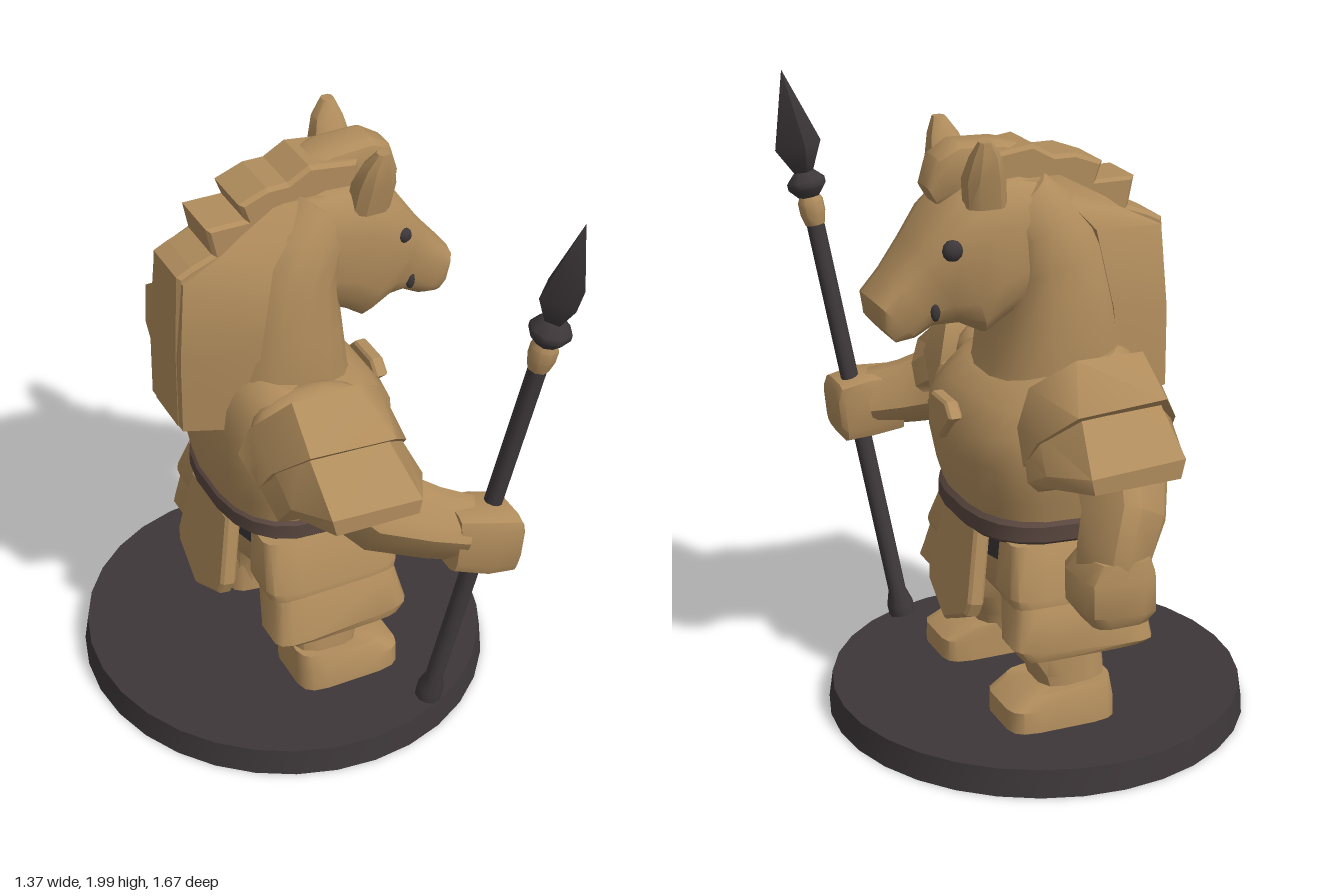
import * as THREE from 'three';
import { toCreasedNormals } from 'three/addons/utils/BufferGeometryUtils.js';

const mat = (name, color) => {
  const m = new THREE.MeshStandardMaterial({ color });
  m.name = name;
  return m;
};

// Closed surface through rings of points, always facing outward
function skin(rings, crease = 0.7) {
  const n = rings[0].length, pos = rings.flat(2), idx = [];
  rings.slice(1).forEach((_, r) => {
    for (let i = 0; i < n; i++) {
      const a = r * n + i, b = r * n + (i + 1) % n;
      idx.push(a, b, a + n, b, b + n, a + n);
    }
  });
  [0, rings.length - 1].forEach((r, end) => {
    const c = [0, 1, 2].map(k => rings[r].reduce((s, p) => s + p[k], 0) / n);
    const ci = pos.length / 3;
    pos.push(...c);
    for (let i = 0; i < n; i++) {
      const a = r * n + i, b = r * n + (i + 1) % n;
      end ? idx.push(ci, a, b) : idx.push(ci, b, a);
    }
  });
  let volume = 0;
  const v = i => new THREE.Vector3().fromArray(pos, i * 3);
  for (let i = 0; i < idx.length; i += 3) volume += v(idx[i]).dot(v(idx[i + 1]).cross(v(idx[i + 2])));
  if (volume < 0) idx.reverse();
  const g = new THREE.BufferGeometry();
  g.setAttribute('position', new THREE.Float32BufferAttribute(pos, 3));
  g.setIndex(idx);
  return toCreasedNormals(g, crease);
}

// Rounded-square ring about a centre with two half axes
function ring(c, u, v, power = 2.6, n = 16) {
  return Array.from({ length: n }, (_, i) => {
    const t = ((i + 0.5) / n) * Math.PI * 2;
    const f = w => Math.sign(w) * Math.abs(w) ** (2 / power);
    const a = f(Math.cos(t)), b = f(Math.sin(t));
    return c.map((q, k) => q + u[k] * a + v[k] * b);
  });
}

// Sections: [frontX, frontY, backX, backY, halfWidth, centreZ]
const body = (sections, power, n) => skin(sections.map(([ax, ay, bx, by, w, z = 0]) =>
  ring([(ax + bx) / 2, (ay + by) / 2, z], [(ax - bx) / 2, (ay - by) / 2, 0], [0, 0, w], power, n)));

// Limb along points: [x, y, z, radius]
function limb(points, power = 3, n = 10) {
  const P = points.map(p => new THREE.Vector3(...p.slice(0, 3)));
  return skin(points.map((p, i) => {
    const t = P[Math.min(i + 1, P.length - 1)].clone().sub(P[Math.max(i - 1, 0)]).normalize();
    const u = new THREE.Vector3(0.9, 0.3, -0.4).cross(t).normalize();
    const v = t.clone().cross(u);
    return ring(P[i].toArray(), u.multiplyScalar(p[3]).toArray(), v.multiplyScalar(p[3]).toArray(), power, n);
  }));
}

function extrude(points, depth, bevel) {
  const g = new THREE.ExtrudeGeometry(new THREE.Shape(points.map(p => new THREE.Vector2(...p))),
    { depth, bevelEnabled: true, bevelSize: bevel, bevelThickness: bevel, bevelSegments: 1 });
  return g.translate(0, 0, -depth / 2);
}

export function createModel() {
  const tan = mat('tan', 0xb08c5c), dark = mat('charcoal', 0x3d3739), brown = mat('beltBrown', 0x59463f);
  const model = new THREE.Group(), figure = new THREE.Group();
  model.name = 'horseGuardFigurine';
  figure.name = 'figure';
  figure.position.z = -0.05;
  model.add(figure);
  const add = (name, geo, m = tan, parent = figure) => {
    const mesh = new THREE.Mesh(geo, m);
    mesh.name = name;
    parent.add(mesh);
    return mesh;
  };

  // Display base
  const base = add('base', toCreasedNormals(new THREE.CylinderGeometry(0.67, 0.683, 0.09, 32), 0.6), dark);
  base.position.y = 0.055;
  base.scale.z = 1.025;

  // Torso, belt and hips
  add('torso', body([
    [.26, .74, -.26, .74, .32], [.29, .84, -.28, .84, .345], [.31, .95, -.3, .95, .37], [.31, 1.05, -.3, 1.06, .37],
    [.25, 1.13, -.29, 1.16, .355], [.19, 1.18, -.26, 1.25, .33], [.14, 1.2, -.22, 1.29, .29]], 2.7, 22));
  add('belt', body([[.27, .695, -.26, .695, .325], [.285, .71, -.275, .71, .34],
    [.285, .76, -.275, .76, .34], [.27, .775, -.26, .775, .325]], 2.7, 22), brown);
  add('underskirt', body([[.21, .59, -.21, .59, .27], [.23, .72, -.23, .72, .29]]), dark);
  add('hips', body([[.15, .43, -.15, .43, .19], [.2, .5, -.2, .5, .25], [.21, .605, -.21, .605, .275]]));
  const emblem = add('chestEmblem', extrude([[-.055, .05], [.055, .05], [.09, .015], [0, -.07], [-.09, .015]], .03, .008));
  emblem.position.set(.31, 1.055, 0);
  emblem.rotation.set(0, Math.PI / 2, 0);

  // Front and back skirt plates
  const flap = [[-.13, .34], [.13, .34], [.165, .1], [.15, .06], [0, -.01], [-.15, .06], [-.165, .1]];
  [1, -1].forEach(s => {
    const holder = new THREE.Group();
    holder.name = s > 0 ? 'frontSkirt' : 'backSkirt';
    holder.position.set(s * .295, .365, 0);
    holder.rotation.y = s * Math.PI / 2;
    figure.add(holder);
    add('skirtPlate', extrude(flap, .035, .01), tan, holder).rotation.x = -.16;
  });

  // Neck, mane and head
  add('neck', body([
    [.22, 1.1, -.3, 1.1, .25], [.18, 1.2, -.27, 1.25, .262], [.16, 1.35, -.23, 1.45, .25],
    [.14, 1.5, -.18, 1.62, .235], [.16, 1.6, -.09, 1.75, .21], [.22, 1.68, 0, 1.83, .165]], 2.5, 18));
  add('maneCrest', extrude([
    [-.39, 1.1], [-.28, 1.1], [-.1, 1.4], [.2, 1.7], [.2, 1.88], [.05, 1.9], [-.02, 1.86], [-.09, 1.86],
    [-.17, 1.83], [-.15, 1.77], [-.28, 1.77], [-.26, 1.68], [-.34, 1.65], [-.38, 1.63], [-.39, 1.35]], .17, .012));
  // Mane body, tapering from the neck sides to the back edge: [backX, backY, frontX, frontY, backHalf, frontHalf]
  add('maneBody', skin([[-.4, 1.09, -.2, 1.09, .12, .2], [-.4, 1.35, -.17, 1.4, .12, .215],
    [-.38, 1.62, -.12, 1.65, .11, .19], [-.24, 1.69, -.04, 1.74, .1, .16], [-.08, 1.81, .1, 1.81, .09, .12]]
    .map(([bx, by, fx, fy, b, f]) => [[bx, by, -b], [bx, by, b], [fx, fy, f], [fx, fy, -f]])));
  add('head', body([
    [-.02, 1.8, -.08, 1.47, .16], [.1, 1.83, .04, 1.43, .185], [.25, 1.82, .16, 1.37, .195], [.36, 1.73, .21, 1.33, .18],
    [.43, 1.63, .29, 1.37, .15], [.5, 1.54, .37, 1.37, .122], [.56, 1.47, .43, 1.34, .122], [.55, 1.4, .49, 1.33, .1]], 3.2));
  add('forelock', body([[.04, 1.9, .04, 1.7, .08], [.14, 1.925, .1, 1.72, .085], [.28, 1.93, .22, 1.74, .08],
    [.345, 1.89, .29, 1.75, .07], [.375, 1.8, .34, 1.74, .05]], 4, 12));

  [1, -1].forEach(s => {
    const side = s > 0 ? 'right' : 'left';
    add(side + 'Ear', body([[.29, 1.75, .16, 1.75, .055, s * .135], [.3, 1.84, .17, 1.84, .057, s * .15],
      [.285, 1.91, .19, 1.91, .042, s * .172], [.265, 1.96, .225, 1.96, .02, s * .188]], 2.8, 8));
    const eyeSize = s > 0 ? .025 : .034;
    [['Eye', .34, 1.63, .16, eyeSize, 1], ['MouthCorner', .385, 1.435, .127, .016, 2]].forEach(([n, x, y, z, r, tall]) => {
      const spot = add(side + n, new THREE.SphereGeometry(r, 10, 6), dark);
      spot.position.set(x, y, s * z);
      spot.scale.set(1, tall, .8);
    });

    // Shoulder muscle beside the collar
    const shoulder = add(side + 'Shoulder', new THREE.SphereGeometry(1, 14, 10));
    shoulder.position.set(-.05, 1.15, s * .3);
    shoulder.scale.set(.2, .115, .1);

    // Two overlapping shoulder plates
    const plate = rows => skin(rows.map(row => row.map(([x, y, z]) => [x, y, s * z])), .8);
    add(side + 'ShoulderUpper', plate([
      [[-.3, 1.1, .31], [-.27, 1.2, .33], [-.17, 1.325, .42], [.05, 1.325, .42], [.17, 1.23, .34], [.2, 1.1, .32]],
      [[-.27, 1.01, .39], [-.26, 1.12, .47], [-.18, 1.22, .57], [.11, 1.2, .57], [.2, 1.1, .47], [.21, 1.0, .39]]]));
    add(side + 'ShoulderLower', plate([
      [[-.28, 1.06, .36], [-.25, 1.15, .42], [-.17, 1.23, .5], [.08, 1.23, .5], [.18, 1.12, .43], [.2, 1.04, .37]],
      [[-.24, .93, .47], [-.24, 1.04, .56], [-.175, 1.08, .71], [.13, 1.06, .71], [.21, 1.03, .56], [.23, .98, .47]],
      [[-.22, .93, .48], [-.22, 1.0, .56], [-.16, 1.02, .71], [.12, 1.01, .71], [.2, .99, .56], [.2, .95, .48]]]));

    // Side skirt plates in two tiers
    add(side + 'SkirtUpper', body([[.23, .52, -.22, .52, .1, s * .31], [.24, .55, -.23, .55, .115, s * .295],
      [.21, .7, -.21, .7, .085, s * .245]], 5));
    add(side + 'SkirtLower', body([[.22, .36, -.2, .36, .06, s * .385], [.25, .4, -.225, .37, .095, s * .36],
      [.23, .5, -.21, .5, .11, s * .315], [.22, .58, -.2, .58, .09, s * .29]], 5));

    // Legs and feet
    add(side + 'Leg', body([[.1, .14, -.11, .14, .11, s * .26], [.13, .25, -.11, .25, .11, s * .25],
      [.19, .34, -.11, .34, .125, s * .22], [.18, .45, -.15, .45, .135, s * .2], [.17, .6, -.17, .6, .12, s * .18]], 3, 12));
    add(side + 'Foot', body([[.25, .09, -.115, .09, .135, s * .28], [.25, .17, -.115, .17, .13, s * .28],
      [.19, .21, -.11, .23, .115, s * .27]], 5));
  });

  // Spear arm
  add('rightArm', limb([[-.06, 1.13, .36, .13], [-.02, 1.02, .48, .13], [.07, .94, .58, .125],
    [.2, .9, .65, .105], [.3, .88, .7, .095]]));
  add('rightHand', body([[.24, .98, .22, .77, .085, .69], [.34, .975, .32, .75, .1, .715],
    [.43, .95, .41, .74, .095, .725], [.445, .92, .43, .77, .08, .725]], 5, 12));

  // Hanging arm
  add('leftArm', limb([[-.06, 1.13, -.38, .13], [-.05, 1.02, -.53, .13], [-.01, .9, -.635, .115],
    [.03, .8, -.66, .105], [.04, .72, -.66, .095]]));
  add('leftHand', body([[.13, .595, -.05, .595, .08, -.68], [.16, .64, -.08, .63, .125, -.655],
    [.16, .74, -.08, .74, .125, -.65], [.12, .8, -.06, .8, .105, -.66]], 4, 12));

  // Spear, turned about its own leaning axis
  const spear = new THREE.Group();
  spear.name = 'spear';
  spear.position.set(.25, .095, .585);
  const lean = new THREE.Vector3(.29, 1.905, .26);
  const len = lean.length();
  spear.quaternion.setFromUnitVectors(new THREE.Vector3(0, 1, 0), lean.normalize());
  figure.add(spear);
  const lathe = (pts, n) => toCreasedNormals(new THREE.LatheGeometry(pts.map(p => new THREE.Vector2(...p)), n), .8);
  add('shaft', lathe([[0, 0], [.045, .01], [.045, .05], [.03, .1], [.03, 1.5], [0, 1.5]], 10), dark, spear);
  add('collar', lathe([[0, 1.42], [.034, 1.42], [.044, 1.46], [.044, 1.5], [.032, 1.525], [0, 1.525]], 8), tan, spear);
  add('guard', lathe([[0, 1.515], [.035, 1.515], [.066, 1.55], [.066, 1.57], [.035, 1.6], [0, 1.6]], 8), dark, spear);
  add('blade', lathe([[0, 1.58], [.028, 1.59], [.08, 1.69], [0, len]], 4), dark, spear);
  return model;
}
